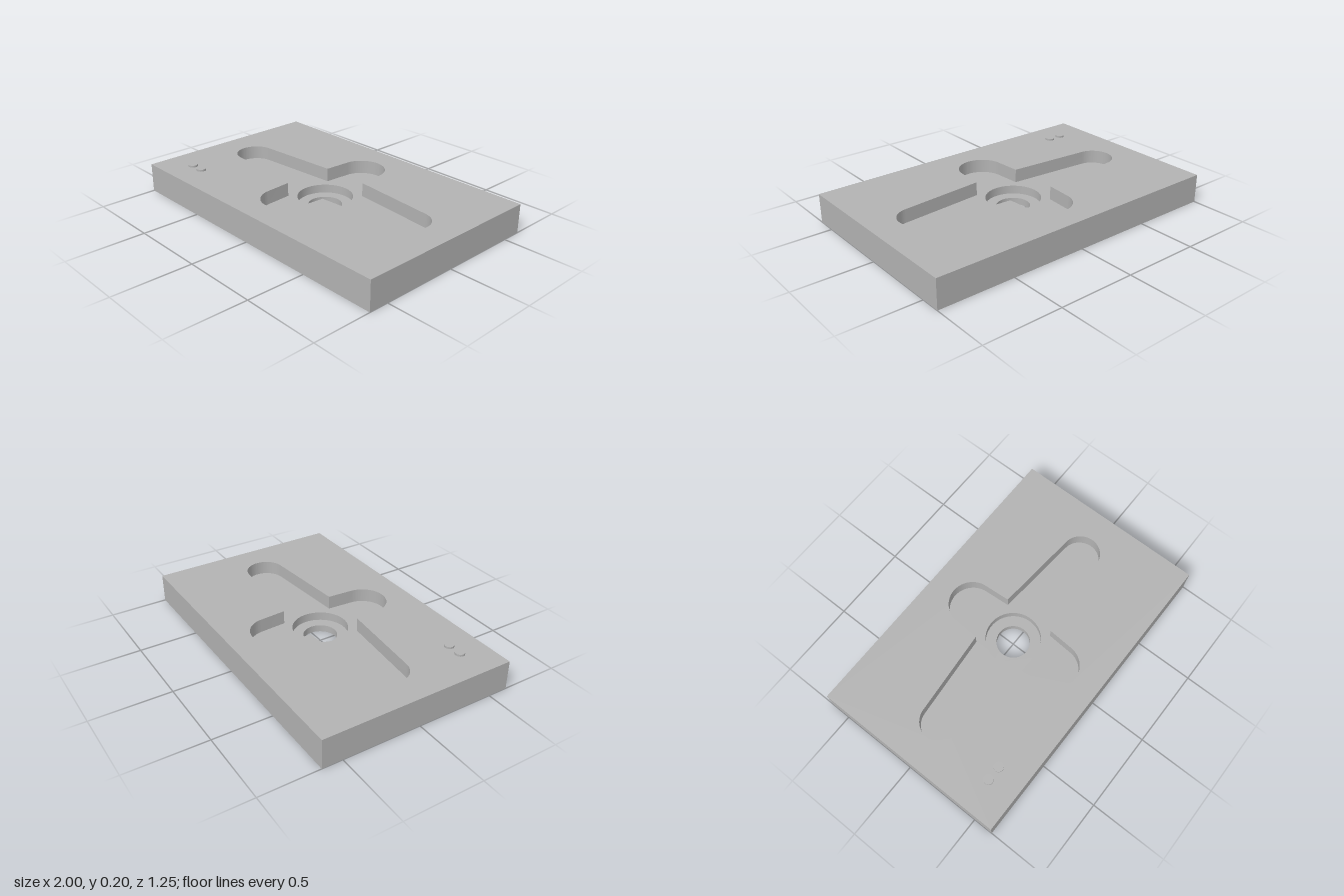
import * as THREE from 'three';
import { mergeGeometries, toCreasedNormals } from 'three/addons/utils/BufferGeometryUtils.js';

const SEG = 32;
const PLATE = { w: 2, d: 1.255, top: 0.1875 };
const POCKET_Y = 0.1, BORE_Y = 0.045;
const BORE_R = 0.174, HOLE_R = 0.106;

function circle(r) {
  const s = new THREE.Shape();
  s.absarc(0, 0, r, 0, Math.PI * 2, false);
  return s;
}

function rectangle(w, d) {
  return new THREE.Shape([[-1, -1], [1, -1], [1, 1], [-1, 1]]
    .map(([x, y]) => new THREE.Vector2(x * w / 2, y * d / 2)));
}

// Cross with four tapered, round-ended arms and sharp inner corners
function crossOutline() {
  const s = new THREE.Shape();
  const taper = 0.083, half = Math.PI / 2 - taper;
  const cx = 0.158, cz = 0.168;
  const arms = [
    { at: 0.6975, r: 0.1225, corner: [cx, cz] },
    { at: 0.325, r: 0.147, corner: [-cx, cz] },
    { at: 0.6975, r: 0.1225, corner: [-cx, -cz] },
    { at: 0.325, r: 0.147, corner: [cx, -cz] },
  ];
  s.moveTo(cx, -cz);
  arms.forEach(({ at, r, corner }, i) => {
    const a = i * Math.PI / 2;
    s.absarc(at * Math.cos(a), at * Math.sin(a), r, a - half, a + half, false);
    s.lineTo(...corner);
  });
  return s;
}

// Flat horizontal face with an optional cut-out
function face(outline, hole, y, up = true) {
  const s = outline.clone();
  if (hole) s.holes.push(hole);
  const g = new THREE.ShapeGeometry(s, SEG);
  g.rotateX(-Math.PI / 2);
  if (!up) {
    const index = g.index.array;
    for (let i = 0; i < index.length; i += 3) {
      [index[i], index[i + 1]] = [index[i + 1], index[i]];
    }
    g.computeVertexNormals();
  }
  g.translate(0, y, 0);
  g.deleteAttribute('uv');
  return g.toNonIndexed();
}

// Vertical wall along an outline, facing outward or inward
function wall(outline, y0, y1, inward = false) {
  const pts = outline.getPoints(SEG);
  if (inward) pts.reverse();
  const pos = [];
  pts.forEach((a, i) => {
    const b = pts[(i + 1) % pts.length];
    if (a.distanceTo(b) < 1e-6) return;
    pos.push(a.x, y0, -a.y, b.x, y0, -b.y, b.x, y1, -b.y);
    pos.push(a.x, y0, -a.y, b.x, y1, -b.y, a.x, y1, -a.y);
  });
  const g = new THREE.BufferGeometry();
  g.setAttribute('position', new THREE.Float32BufferAttribute(pos, 3));
  return toCreasedNormals(g, 0.5);
}

export function createModel() {
  const model = new THREE.Group();
  model.name = 'machinedPlate';
  const metal = new THREE.MeshStandardMaterial({ color: 0xb2b2b2 });
  metal.name = 'plain grey';

  const add = (name, ...parts) => {
    const mesh = new THREE.Mesh(parts.length > 1 ? mergeGeometries(parts) : parts[0], metal);
    mesh.name = name;
    model.add(mesh);
    return mesh;
  };

  const block = rectangle(PLATE.w, PLATE.d);
  const cross = crossOutline(), bore = circle(BORE_R), hole = circle(HOLE_R);

  // Rectangular block
  add('plateBody',
    face(block, cross, PLATE.top),
    wall(block, 0, PLATE.top),
    face(block, hole, 0, false));

  // Cross-shaped recess
  add('crossPocket', wall(cross, POCKET_Y, PLATE.top, true), face(cross, bore, POCKET_Y));

  // Stepped round opening in the middle
  add('counterbore', wall(bore, BORE_Y, POCKET_Y, true), face(bore, hole, BORE_Y));
  add('throughHole', wall(hole, 0, BORE_Y, true));

  // Two small marker studs near the front right corner
  for (const x of [-0.79, -0.697]) {
    const stud = add('markerStud', new THREE.CylinderGeometry(0.03, 0.03, 0.0145, SEG));
    stud.position.set(x, PLATE.top + 0.00525, 0.442);
  }
  return model;
}
